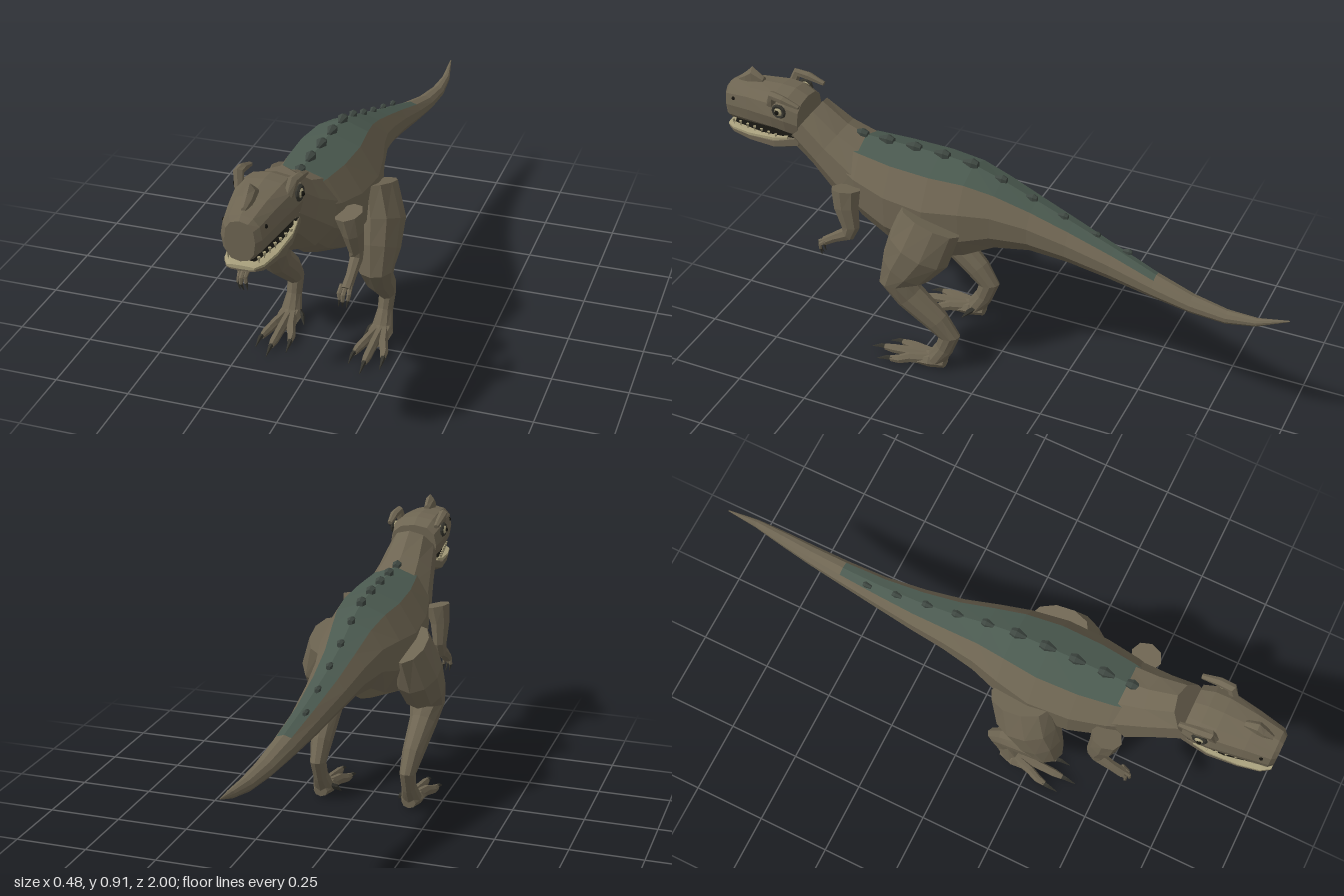
import * as THREE from 'three';

const mat = (color) => new THREE.MeshStandardMaterial({ color, flatShading: true });
const skin = mat(0x6e6552), stripe = mat(0x4a594f), belly = mat(0x7d735a);
const dark = mat(0x35342d), scale = mat(0x3e4741), tan = mat(0xa89f7c), black = mat(0x15140f);

// Loft through rings [x, y, z, halfWidth, halfHeight]. Each ring faces along the path,
// or along o.dir. o.pow < 1 makes rings boxier; o.keep(i, j) selects faces.
function loft(rings, n, o = {}) {
  const X = new THREE.Vector3(1, 0, 0);
  const C = rings.map((r) => new THREE.Vector3(r[0], r[1], r[2]));
  const sp = (v) => Math.sign(v) * Math.pow(Math.abs(v), o.pow ?? 1);
  const P = rings.map((r, i) => {
    const t = o.dir ? o.dir.clone() : C[Math.min(i + 1, C.length - 1)].clone().sub(C[Math.max(i - 1, 0)]);
    t.normalize();
    const v = X.clone().cross(t).normalize(), u = t.clone().cross(v);
    return Array.from({ length: n }, (_, j) => {
      const a = Math.PI / 2 + (j / n) * Math.PI * 2;
      return C[i].clone().addScaledVector(u, sp(Math.cos(a)) * r[3]).addScaledVector(v, sp(Math.sin(a)) * r[4]);
    });
  });
  const out = [], tri = (...p) => p.forEach((q) => out.push(q.x, q.y, q.z));
  const last = P.length - 1;
  for (let j = 0; j < n; j++) {
    const k = (j + 1) % n;
    for (let i = 0; i < last; i++) {
      if (o.keep && !o.keep(i, j)) continue;
      tri(P[i][j], P[i + 1][j], P[i][k]);
      tri(P[i][k], P[i + 1][j], P[i + 1][k]);
    }
    if (o.open) continue;
    tri(C[0], P[0][j], P[0][k]);
    tri(C[last], P[last][k], P[last][j]);
  }
  const g = new THREE.BufferGeometry();
  g.setAttribute('position', new THREE.Float32BufferAttribute(out, 3));
  g.computeVertexNormals();
  return g;
}

// Upright rings from [z, top, bottom, halfWidth, x]
const upright = (list) => list.map(([z, t, b, w, x = 0]) => [x, (t + b) / 2, z, w, (t - b) / 2]);

export function createModel() {
  const root = new THREE.Group();
  const add = (parent, name, geo, material) => {
    const m = new THREE.Mesh(geo, material);
    m.name = name;
    parent.add(m);
    return m;
  };
  const group = (name) => {
    const g = new THREE.Group();
    g.name = name;
    root.add(g);
    return g;
  };
  const back = new THREE.Vector3(0, 0, -1);

  // Torso and tail in one loft, split by colour
  const bodyRings = upright([
    [0.565, 0.755, 0.54, 0.1], [0.48, 0.757, 0.46, 0.132], [0.36, 0.755, 0.395, 0.158],
    [0.22, 0.752, 0.366, 0.165], [0.1, 0.742, 0.405, 0.142], [0, 0.71, 0.462, 0.114],
    [-0.12, 0.662, 0.481, 0.088, -0.002], [-0.25, 0.615, 0.472, 0.07, 0.002], [-0.4, 0.565, 0.452, 0.052, 0.014],
    [-0.55, 0.517, 0.436, 0.041, 0.032], [-0.68, 0.485, 0.426, 0.033, 0.048], [-0.8, 0.472, 0.427, 0.024, 0.061],
    [-0.9, 0.476, 0.448, 0.014, 0.066], [-1, 0.492, 0.488, 0.002, 0.056],
  ]);
  const isTop = (i, j) => (j === 0 || j === 9) && i < 9;
  const isBelly = (i, j) => (j === 4 || j === 5) && i > 1 && i < 6;
  const body = group('body');
  add(body, 'torsoAndTail', loft(bodyRings, 10, { dir: back, keep: (i, j) => !isTop(i, j) && !isBelly(i, j) }), skin);
  add(body, 'backStripe', loft(bodyRings, 10, { dir: back, keep: isTop, open: true }), stripe);
  add(body, 'bellyPatch', loft(bodyRings, 10, { dir: back, keep: isBelly, open: true }), belly);
  add(body, 'neck', loft([
    [0, 0.765, 0.71, 0.083, 0.1], [0, 0.7, 0.62, 0.1, 0.102], [0, 0.634, 0.517, 0.122, 0.13],
  ], 10, { dir: new THREE.Vector3(0, -0.6, -0.8) }), skin);

  // Row of back scales, following the spine
  const topAt = (z) => {
    const i = bodyRings.findIndex((r) => r[2] <= z);
    const a = bodyRings[i - 1], b = bodyRings[i], f = (a[2] - z) / (a[2] - b[2]);
    return THREE.MathUtils.lerp(a[1] + a[4], b[1] + b[4], f);
  };
  [0.51, 0.415, 0.315, 0.213, 0.11, 0.003, -0.105, -0.215, -0.328, -0.44].forEach((z, i) => {
    const s = i < 5 ? 1 : 0.8 - (i - 5) * 0.06, y = topAt(z) - 0.004;
    add(body, 'backScale', loft([
      [0, y + 0.004, z + 0.028 * s, 0.006, 0.008], [0, y + 0.006, z - 0.005, 0.018 * s, 0.019 * s],
      [0, y + 0.004, z - 0.025 * s, 0.012 * s, 0.012 * s],
    ], 6, { dir: back }), scale);
  });
  add(body, 'neckScale', loft([
    [0, 0.778, 0.6, 0.004, 0.006], [0, 0.778, 0.575, 0.008, 0.014], [0, 0.765, 0.555, 0.004, 0.006],
  ], 6, { dir: back }), scale);

  // Head and jaws
  const head = group('head');
  add(head, 'skull', loft(upright([
    [1, 0.842, 0.715, 0.046], [0.985, 0.855, 0.715, 0.062], [0.9, 0.87, 0.718, 0.078], [0.8, 0.876, 0.724, 0.095],
    [0.75, 0.872, 0.716, 0.095], [0.705, 0.852, 0.71, 0.084],
  ]), 12, { dir: back, pow: 0.8 }), skin);
  add(head, 'lowerJaw', loft(upright([
    [0.995, 0.697, 0.682, 0.045], [0.97, 0.698, 0.672, 0.06], [0.9, 0.7, 0.662, 0.073],
    [0.8, 0.712, 0.66, 0.084], [0.71, 0.745, 0.68, 0.078],
  ]), 10, { dir: back, pow: 0.75 }), skin);
  add(head, 'lowerGum', loft(upright([
    [1, 0.702, 0.69, 0.042], [0.97, 0.704, 0.688, 0.062], [0.9, 0.706, 0.688, 0.076],
    [0.8, 0.718, 0.698, 0.086], [0.75, 0.728, 0.712, 0.082],
  ]), 10, { dir: back, pow: 0.6 }), tan);
  add(head, 'mouthInside', loft(upright([
    [0.97, 0.725, 0.7, 0.045], [0.85, 0.73, 0.7, 0.07], [0.72, 0.74, 0.71, 0.075],
  ]), 8, { dir: back }), black);
  add(head, 'noseHorn', loft(upright([
    [0.965, 0.868, 0.842, 0.008], [0.935, 0.893, 0.842, 0.017], [0.912, 0.916, 0.842, 0.018], [0.87, 0.885, 0.85, 0.012],
  ]), 6, { dir: back }), skin);

  for (const s of [1, -1]) {
    // Brow horn
    add(head, 'browHorn', loft([
      [s * 0.074, 0.835, 0.805, 0.015, 0.018], [s * 0.083, 0.878, 0.79, 0.016, 0.017], [s * 0.087, 0.872, 0.75, 0.015, 0.014],
      [s * 0.086, 0.856, 0.692, 0.009, 0.007],
    ], 6), skin);

    // Eye with dark rim
    const rim = add(head, 'eyeRim', new THREE.TorusGeometry(0.02, 0.007, 5, 10), dark);
    rim.position.set(s * 0.093, 0.828, 0.765);
    rim.rotation.y = Math.PI / 2;
    const eye = add(head, 'eye', new THREE.SphereGeometry(0.018, 8, 6), tan);
    eye.position.set(s * 0.088, 0.828, 0.765);
    const pupil = add(head, 'pupil', new THREE.SphereGeometry(0.009, 6, 5), black);
    pupil.position.set(s * 0.101, 0.828, 0.767);
    const nostril = add(head, 'nostril', new THREE.SphereGeometry(0.007, 6, 4), black);
    nostril.position.set(s * 0.062, 0.815, 0.957);

    // Teeth along the upper lip
    for (let i = 0; i < 7; i++) {
      const z = 0.975 - i * 0.03;
      const tooth = add(head, 'tooth', new THREE.ConeGeometry(0.006, 0.022, 4), tan);
      tooth.position.set(s * (0.046 + i * 0.005), 0.713, z);
      tooth.rotation.x = Math.PI;
    }

    // Arm with three clawed fingers
    const arm = group(s > 0 ? 'leftArm' : 'rightArm');
    add(arm, 'armLimb', loft([
      [s * 0.15, 0.632, 0.495, 0.045, 0.052], [s * 0.163, 0.57, 0.49, 0.034, 0.046], [s * 0.168, 0.5, 0.475, 0.024, 0.034],
      [s * 0.17, 0.468, 0.485, 0.021, 0.026], [s * 0.171, 0.44, 0.535, 0.017, 0.018], [s * 0.168, 0.412, 0.575, 0.018, 0.016],
    ], 8), skin);
    for (let k = -1; k <= 1; k++) {
      const x = s * (0.165 + k * 0.013);
      add(arm, 'finger', loft([
        [x, 0.42, 0.565, 0.008, 0.009], [x + k * 0.003, 0.402, 0.598 - Math.abs(k) * 0.01, 0.007, 0.007],
        [x, 0.383, 0.6 - Math.abs(k) * 0.01, 0.006, 0.006],
      ], 6), skin);
      add(arm, 'fingerClaw', loft([
        [x, 0.386, 0.6 - Math.abs(k) * 0.01, 0.006, 0.006], [x - s * 0.005, 0.356, 0.588, 0.001, 0.001],
      ], 5), dark);
    }

    // Leg: thigh, knee, shin, ankle and upper foot in one loft
    const leg = group(s > 0 ? 'leftLeg' : 'rightLeg');
    add(leg, 'legLimb', loft([
      [s * 0.145, 0.585, 0.19, 0.06, 0.108], [s * 0.165, 0.48, 0.225, 0.08, 0.112], [s * 0.172, 0.4, 0.272, 0.073, 0.09],
      [s * 0.176, 0.342, 0.302, 0.06, 0.063], [s * 0.173, 0.285, 0.26, 0.047, 0.053], [s * 0.165, 0.2, 0.165, 0.036, 0.046],
      [s * 0.161, 0.145, 0.122, 0.027, 0.039], [s * 0.16, 0.09, 0.142, 0.025, 0.032], [s * 0.16, 0.035, 0.175, 0.036, 0.034],
    ], 10), skin);
    add(leg, 'footPad', loft(upright([
      [0.25, 0.04, 0.004, 0.035, s * 0.16], [0.19, 0.062, 0.003, 0.042, s * 0.16], [0.14, 0.05, 0.008, 0.025, s * 0.16],
    ]), 8, { dir: back }), skin);
    for (let k = -1; k <= 1; k++) {
      const far = 0.4 - Math.abs(k) * 0.045, x = (d) => s * 0.16 + k * d;
      add(leg, 'toe', loft([
        [x(0.012), 0.034, 0.19, 0.017, 0.024], [x(0.03), 0.03, 0.26, 0.015, 0.02],
        [x(0.044), 0.021, far - 0.06, 0.014, 0.016], [x(0.049), 0.018, far - 0.03, 0.009, 0.011],
      ], 7), skin);
      add(leg, 'toeClaw', loft([
        [x(0.048), 0.02, far - 0.04, 0.009, 0.01], [x(0.052), 0.019, far - 0.015, 0.007, 0.008],
        [x(0.053), 0.006, far + 0.02, 0.001, 0.001],
      ], 5), dark);
    }
    // Small inner toe
    add(leg, 'innerToe', loft([
      [s * 0.142, 0.045, 0.165, 0.012, 0.012], [s * 0.118, 0.032, 0.185, 0.009, 0.01], [s * 0.105, 0.01, 0.205, 0.001, 0.001],
    ], 5), dark);
  }
  return root;
}
